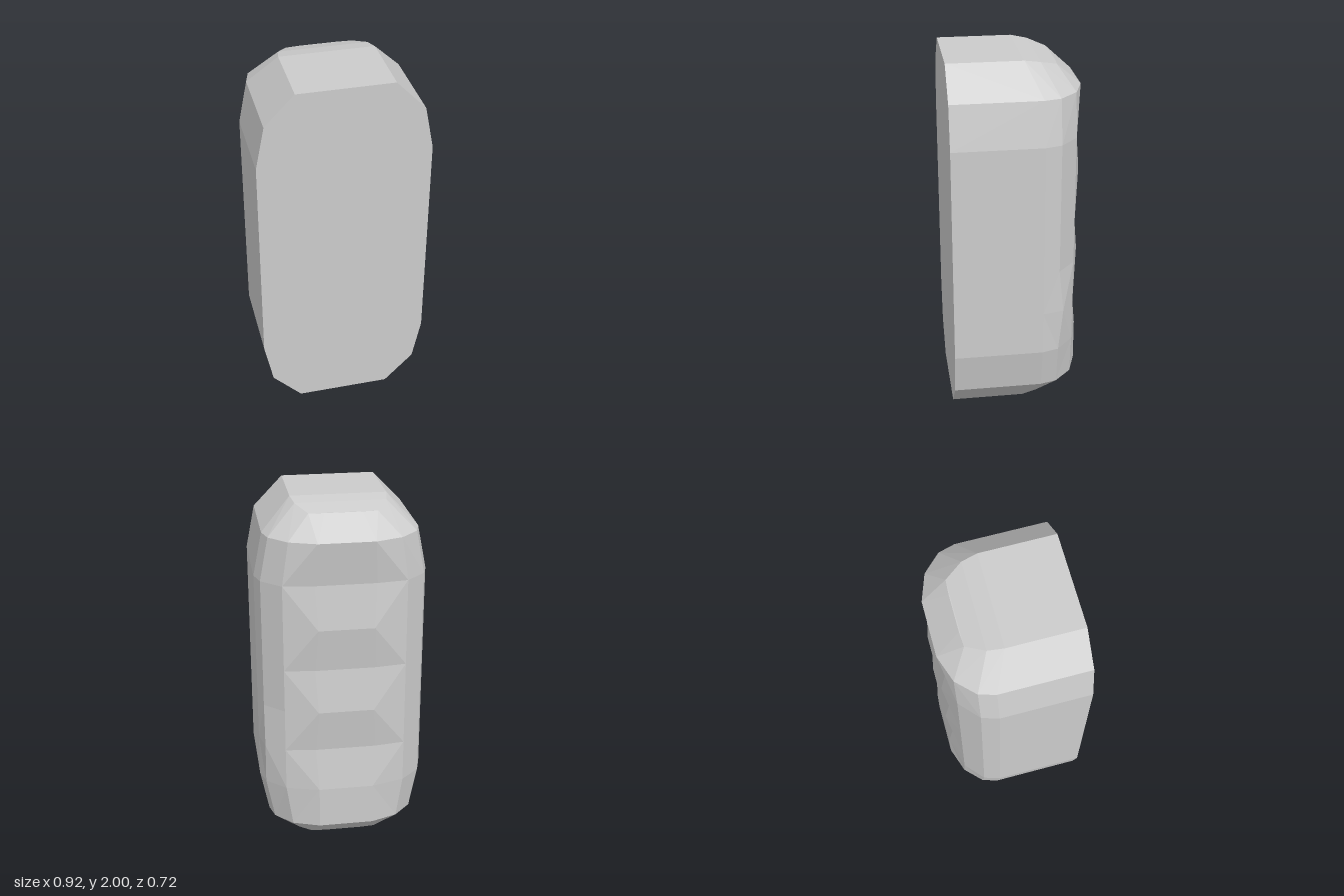
import * as THREE from 'three';

// Each section lists the +x half, front to back, as [x, y, z]; it is mirrored to close the ring.
const ring = (half) => [...half, ...half.slice().reverse().map(([x, y, z]) => [-x, y, z])];
const level = (y, half) => ring(half.map(([x, z]) => [x, y, z]));

const shoulder = [[0.415, 0.36], [0.415, -0.125], [0.39, -0.215], [0.295, -0.31], [0.15, -0.36]];

function bodySections() {
  const rings = [];
  // rounded bottom
  rings.push(ring([[0.256, 0, 0.36], [0.256, 0, -0.045], [0.24, 0.015, -0.13], [0.18, 0.05, -0.23], [0.1, 0.08, -0.28]]));
  rings.push(level(0.165, shoulder));
  // ribbed back: ridges and grooves alternate up the body
  for (let i = 0; i < 6; i++) {
    const groove = i % 2 === 1;
    rings.push(level(0.4 + i * 0.24, [
      [0.462, 0.36], [0.462, -0.125], [0.435, -0.215], [0.33, -0.31],
      groove ? [0.165, -0.33] : [0.15, -0.36],
    ]));
  }
  // small bulge on the left flank
  rings[3][2][2] = -0.24;
  // rounded top
  rings.push(level(1.835, shoulder));
  rings.push(ring([[0.256, 2, 0.36], [0.256, 2, -0.045], [0.24, 1.985, -0.13], [0.18, 1.955, -0.225], [0.1, 1.955, -0.23]]));
  return rings;
}

function loft(rings) {
  const pos = [];
  const quad = (a, b, c, d, flip) => {
    const corners = flip ? [a, b, d, b, c, d] : [a, b, c, a, c, d];
    corners.forEach((p) => pos.push(...p));
  };
  const n = rings[0].length;

  // walls, with diagonals mirrored across x and alternating between bands
  for (let r = 0; r < rings.length - 1; r++) {
    const lo = rings[r], hi = rings[r + 1];
    for (let i = 0; i < n; i++) {
      const j = (i + 1) % n;
      quad(lo[i], lo[j], hi[j], hi[i], (i < n / 2) === (r % 2 === 0));
    }
  }

  // end caps as strips from side to side
  const bottom = rings[0], top = rings[rings.length - 1];
  for (let j = 0; j < n / 2 - 1; j++) {
    const k = n - 1 - j;
    quad(top[j], top[j + 1], top[k - 1], top[k], false);
    quad(bottom[k], bottom[k - 1], bottom[j + 1], bottom[j], false);
  }

  const geometry = new THREE.BufferGeometry();
  geometry.setAttribute('position', new THREE.Float32BufferAttribute(pos, 3));
  geometry.computeVertexNormals();
  return geometry;
}

export function createModel() {
  const group = new THREE.Group();
  group.name = 'ribbedCapsule';
  const material = new THREE.MeshStandardMaterial({ color: 0xcccccc, flatShading: true });
  const body = new THREE.Mesh(loft(bodySections()), material);
  body.name = 'body';
  group.add(body);
  return group;
}
